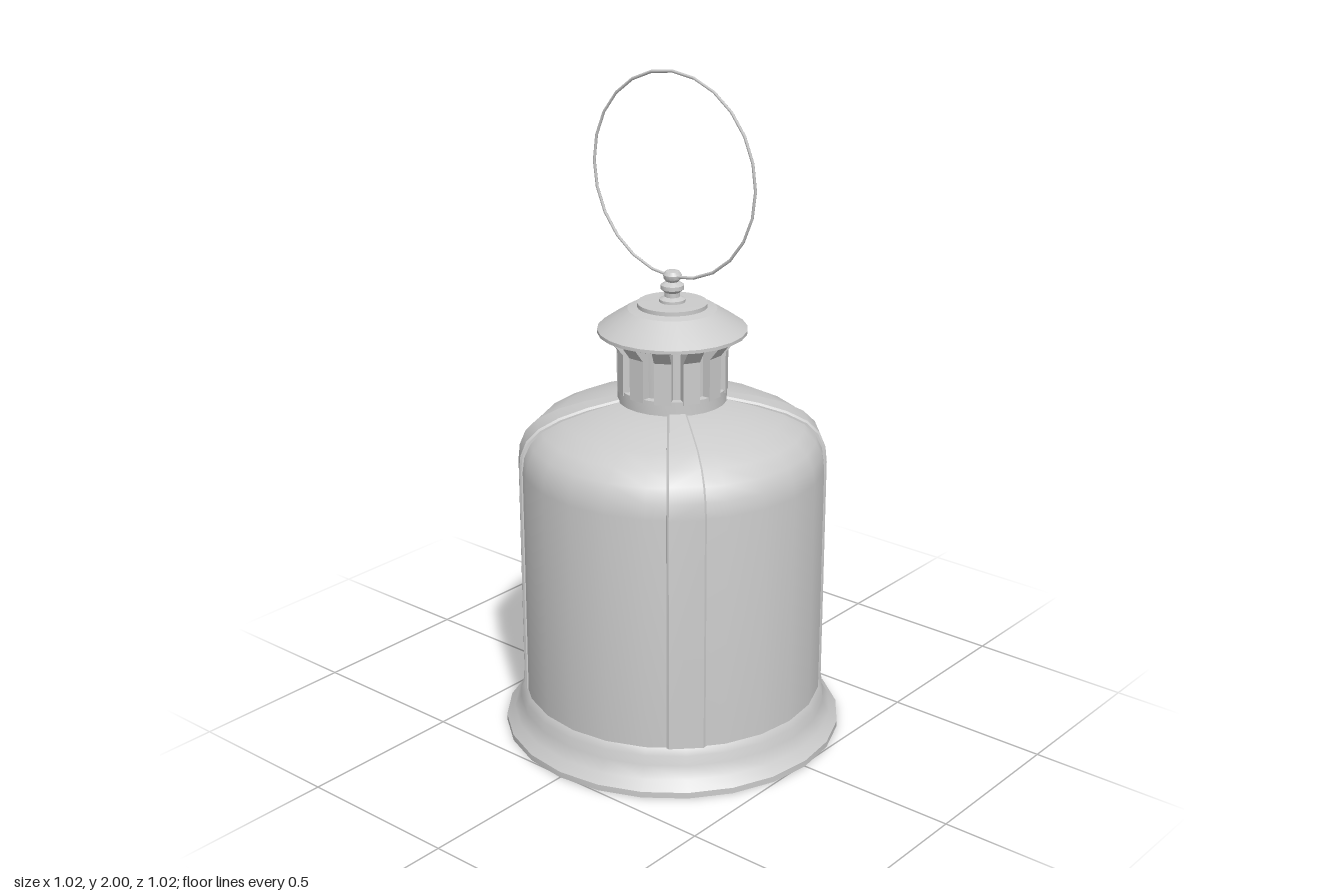
import * as THREE from 'three';
import { toCreasedNormals } from 'three/addons/utils/BufferGeometryUtils.js';

const material = new THREE.MeshStandardMaterial({ color: 0xcccccc });

function add(parent, name, geometry) {
  const mesh = new THREE.Mesh(geometry, material);
  mesh.name = name;
  parent.add(mesh);
  return mesh;
}

function lathe(points, segments, crease = 0.6) {
  const g = new THREE.LatheGeometry(points.map(p => new THREE.Vector2(...p)), segments);
  return toCreasedNormals(g, crease);
}

// Strip swept up the body; each station is [radius, height, halfWidth, outward slope angle]
function ribGeometry(stations) {
  const pos = [], idx = [];
  const thick = 0.03, bevel = 0.006;
  for (const [r, y, w, a] of stations) {
    const section = [[-w, -thick], [-w, -bevel], [-w + bevel, 0], [w - bevel, 0], [w, -bevel], [w, -thick]];
    for (const [s, d] of section) pos.push(s, y + d * Math.sin(a), r + d * Math.cos(a));
  }
  const n = 6, last = (stations.length - 1) * n;
  for (let i = 0; i < stations.length - 1; i++) {
    for (let j = 0; j < n; j++) {
      const a = i * n + j, b = i * n + (j + 1) % n;
      idx.push(a, b, b + n, a, b + n, a + n);
    }
  }
  for (let j = 1; j < n - 1; j++) {
    idx.push(0, j + 1, j, last, last + j, last + j + 1);
  }
  const g = new THREE.BufferGeometry();
  g.setAttribute('position', new THREE.Float32BufferAttribute(pos, 3));
  g.setIndex(idx);
  return toCreasedNormals(g, 0.6);
}

export function createModel() {
  const model = new THREE.Group();
  model.name = 'lantern';

  // Flared foot with a closed underside
  add(model, 'base', lathe([
    [0, 0], [0.51, 0], [0.51, 0.018], [0.485, 0.045], [0.465, 0.08],
    [0.463, 0.11], [0.45, 0.13], [0.44, 0.13],
  ], 24));

  // Straight body with a domed shoulder
  add(model, 'body', lathe([
    [0.45, 0.12], [0.45, 0.84], [0.444, 0.885], [0.425, 0.925], [0.39, 0.96],
    [0.33, 0.99], [0.25, 1.015], [0.16, 1.038], [0, 1.038],
  ], 24));

  // Four ribs that run up the body and taper over the shoulder
  const ribs = new THREE.Group();
  ribs.name = 'ribs';
  model.add(ribs);
  const ribShape = ribGeometry([
    [0.453, 0.13, 0.056, 0], [0.453, 0.84, 0.056, 0], [0.448, 0.888, 0.055, 0.25],
    [0.43, 0.932, 0.053, 0.65], [0.394, 0.968, 0.05, 0.95], [0.333, 0.999, 0.045, 1.15],
    [0.252, 1.024, 0.037, 1.3], [0.15, 1.046, 0.028, 1.35],
  ]);
  for (let i = 0; i < 4; i++) {
    add(ribs, 'rib', ribShape).rotation.y = Math.PI / 4 + i * Math.PI / 2;
  }

  // Neck ring and the core seen between the vent posts
  add(model, 'neck', lathe([
    [0.16, 1.03], [0.16, 1.08], [0.138, 1.08], [0.138, 1.29], [0, 1.29],
  ], 24));

  // Vent posts that flare outward beneath the cap
  const vents = new THREE.Group();
  vents.name = 'ventPosts';
  model.add(vents);
  const outline = new THREE.Shape([
    [0.13, 1.07], [0.16, 1.07], [0.16, 1.195], [0.195, 1.238], [0.195, 1.255], [0.13, 1.29],
  ].map(p => new THREE.Vector2(...p)));
  const post = new THREE.ExtrudeGeometry(outline, { depth: 0.05, bevelEnabled: false });
  post.translate(0, 0, -0.025);
  for (let i = 0; i < 12; i++) {
    add(vents, 'ventPost', post).rotation.y = i * Math.PI / 6;
  }

  // Conical cap, hollow underneath, with a raised disc on top
  add(model, 'cap', lathe([
    [0.13, 1.288], [0.21, 1.24], [0.218, 1.243], [0.218, 1.253], [0.175, 1.283],
    [0.13, 1.312], [0.102, 1.318], [0.102, 1.33], [0, 1.333],
  ], 24, 0.35));

  // Turned finial
  add(model, 'finial', lathe([
    [0.038, 1.328], [0.038, 1.34], [0.022, 1.347], [0.022, 1.36], [0.034, 1.37],
    [0.034, 1.382], [0.018, 1.392], [0.025, 1.4], [0.027, 1.412], [0.02, 1.422], [0, 1.426],
  ], 16));

  // Thin carrying ring
  const ring = add(model, 'handleRing', new THREE.TorusGeometry(0.295, 0.0045, 6, 24));
  ring.rotation.y = Math.PI / 2;
  ring.position.y = 1.7;

  return model;
}
